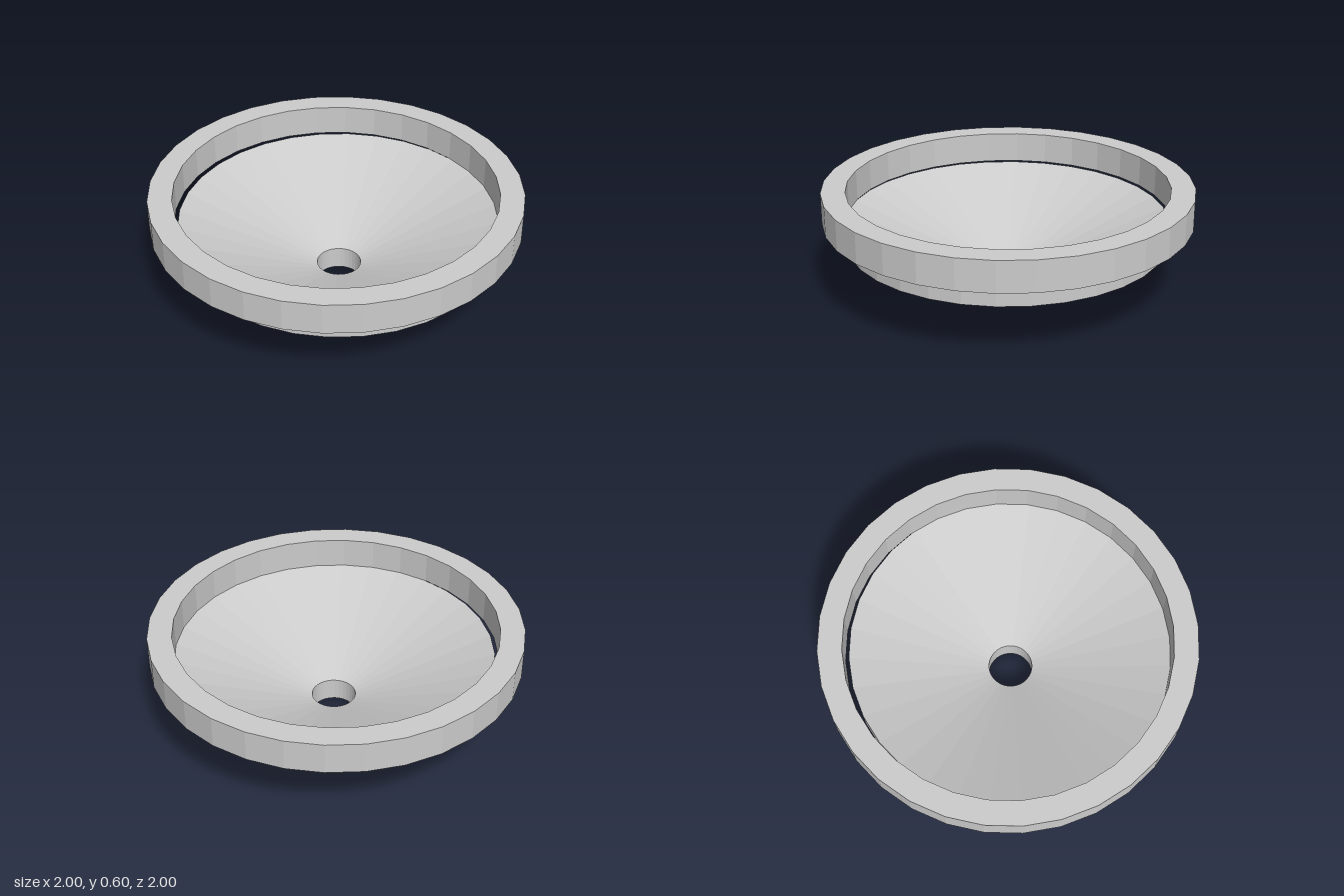
import * as THREE from 'three';

const SIDES = 32;

// Revolves a closed counter-clockwise (radius, height) outline into a faceted solid.
function revolved(name, outline, material) {
  const points = [...outline, outline[0]].map(([r, y]) => new THREE.Vector2(r, y));
  const mesh = new THREE.Mesh(new THREE.LatheGeometry(points, SIDES), material);
  mesh.name = name;
  return mesh;
}

export function createModel() {
  const group = new THREE.Group();
  group.name = 'funnelDish';
  const material = new THREE.MeshStandardMaterial({ color: 0xcccccc, flatShading: true });

  // Square-section ring forming the rim
  const rim = revolved('rimRing', [[0.87, 0.43], [1, 0.43], [1, 0.6], [0.87, 0.6]], material);

  // Thick conical bowl with a drain hole, sitting slightly off centre under the rim
  const bowl = revolved('funnelBowl', [[0.12, 0], [0.867, 0.305], [0.867, 0.43], [0.12, 0.125]], material);
  bowl.position.set(0.004, 0, 0.019);

  group.add(rim, bowl);
  return group;
}
